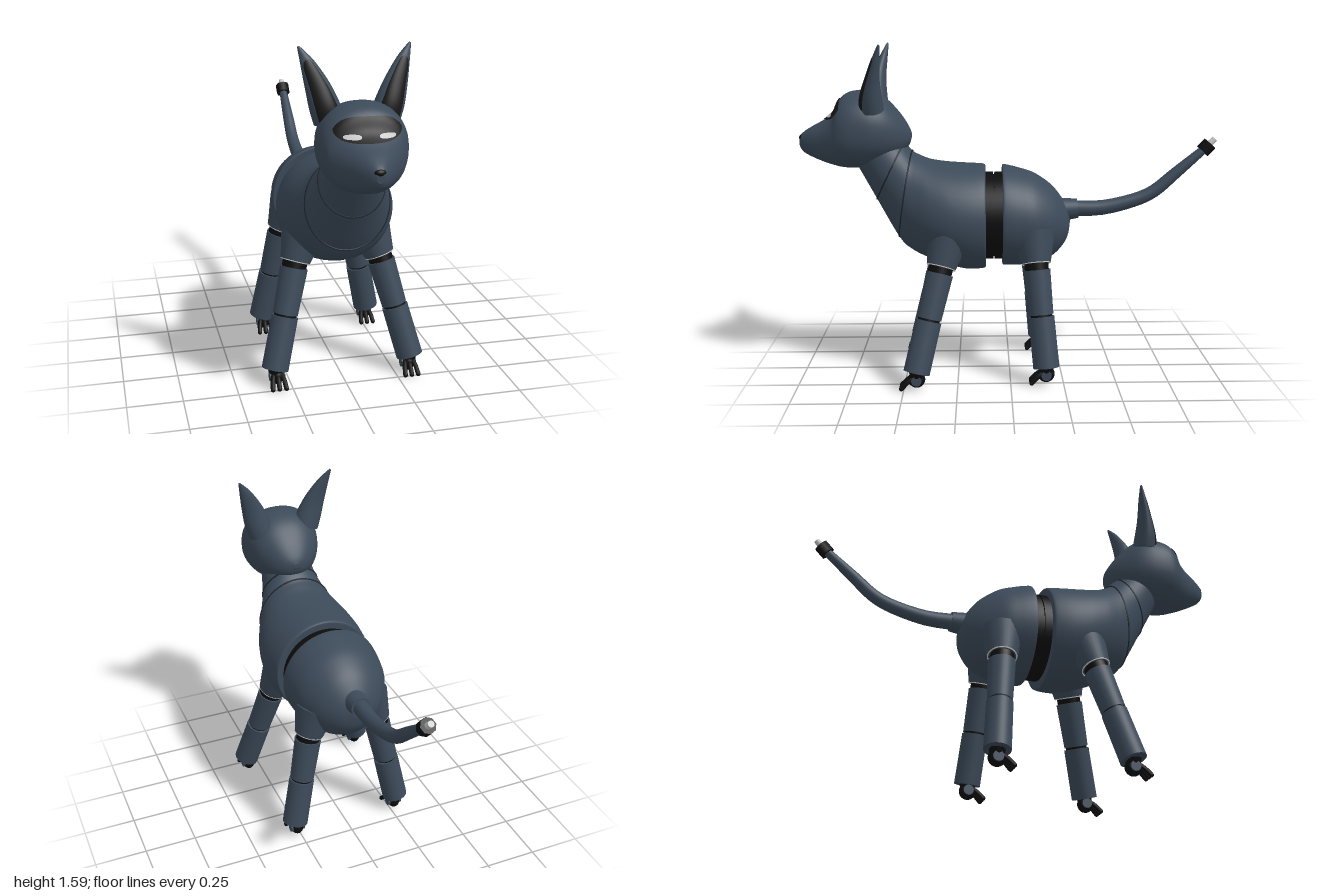
import * as THREE from 'three';

const V = (x, y, z) => new THREE.Vector3(x, y, z);
const mat = (color) => new THREE.MeshStandardMaterial({ color, side: THREE.DoubleSide });
const SHELL = mat(0x3c4a59), SEAM = mat(0x1d252d), BLACK = mat(0x0d0d0d), DARK = mat(0x171717), LIGHT = mat(0xdddddd);

// Catmull-Rom resampling of rows of numbers
function resample(rows, steps) {
  const out = [], last = rows.length - 1;
  const at = (i) => rows[Math.max(0, Math.min(last, i))];
  for (let i = 0; i < last; i++) {
    for (let s = 0; s < steps; s++) {
      const t = s / steps;
      out.push(rows[i].map((b, k) => {
        const a = at(i - 1)[k], c = at(i + 1)[k], d = at(i + 2)[k];
        return b + 0.5 * t * (c - a + t * (2 * a - 5 * b + 4 * c - d + t * (3 * (b - c) + d - a)));
      }));
    }
  }
  out.push(rows[last]);
  return out;
}

const bulge = (v, n) => Math.sign(v) * Math.abs(v) ** (2 / n);
const ringPoint = ({ c, u, v }, a, n = 2) =>
  c.clone().addScaledVector(u, bulge(Math.cos(a), n)).addScaledVector(v, bulge(Math.sin(a), n));

// Skin over sections {c, u, v} advancing along u x v, with flat end caps
function loft(sections, { sides = 48, n = 2 } = {}) {
  const pos = [], idx = [];
  const addRing = (s) => {
    const start = pos.length / 3;
    for (let j = 0; j < sides; j++) pos.push(...ringPoint(s, (j / sides) * Math.PI * 2, n).toArray());
    return start;
  };
  sections.forEach(addRing);
  for (let i = 0; i < sections.length - 1; i++) {
    for (let j = 0; j < sides; j++) {
      const k = (j + 1) % sides, a = i * sides, b = a + sides;
      idx.push(a + j, a + k, b + k, a + j, b + k, b + j);
    }
  }
  [sections[0], sections[sections.length - 1]].forEach((s, end) => {
    const r = addRing(s), mid = r + sides;
    pos.push(...s.c.toArray());
    for (let j = 0; j < sides; j++) {
      const k = (j + 1) % sides;
      idx.push(mid, r + (end ? j : k), r + (end ? k : j));
    }
  });
  const g = new THREE.BufferGeometry();
  g.setAttribute('position', new THREE.Float32BufferAttribute(pos, 3));
  g.setIndex(idx);
  g.computeVertexNormals();
  return g;
}

// Row [topZ, topY, bottomZ, bottomY, halfWidth] to a section
const slab = ([tz, ty, bz, by, w]) => ({
  c: V(0, (ty + by) / 2, (tz + bz) / 2), u: V(w, 0, 0), v: V(0, (ty - by) / 2, (tz - bz) / 2),
});

// Sections along a path; rows are [x, y, z, half size along side, half size across]
function along(rows, side) {
  return rows.map((r, i) => {
    const p = rows[Math.max(0, i - 1)], q = rows[Math.min(rows.length - 1, i + 1)];
    const t = V(q[0] - p[0], q[1] - p[1], q[2] - p[2]).normalize();
    const u = side.clone().addScaledVector(t, -side.dot(t)).normalize();
    return { c: V(r[0], r[1], r[2]), u: u.clone().multiplyScalar(r[3]), v: t.cross(u).multiplyScalar(r[4]) };
  });
}

function add(parent, name, geometry, material) {
  const m = new THREE.Mesh(geometry, material);
  m.name = name;
  parent.add(m);
  return m;
}

// Round bar between two points
function bar(parent, name, a, b, r0, r1, material, sides = 32) {
  const m = add(parent, name, new THREE.CylinderGeometry(r1, r0, a.distanceTo(b), sides), material);
  m.position.copy(a).lerp(b, 0.5);
  m.quaternion.setFromUnitVectors(V(0, 1, 0), b.clone().sub(a).normalize());
  return m;
}

// Head stations: z, bottom, top, half width
const HEAD_N = 2.25;
const headRows = resample([
  [0.465, 1.16, 1.18, 0.012], [0.48, 1.12, 1.215, 0.06], [0.52, 1.08, 1.275, 0.112], [0.58, 1.05, 1.34, 0.158],
  [0.64, 1.03, 1.375, 0.182], [0.7, 1.02, 1.385, 0.19], [0.76, 1.018, 1.375, 0.187], [0.8, 1.022, 1.345, 0.172],
  [0.83, 1.03, 1.285, 0.15], [0.88, 1.045, 1.245, 0.112], [0.94, 1.07, 1.212, 0.07], [0.98, 1.093, 1.185, 0.038],
  [0.997, 1.12, 1.165, 0.016]], 5);

// Depth of the face surface at x, y
function faceZ(x, y) {
  for (let t = headRows.length - 1.001; t > 0; t -= 0.02) {
    const i = Math.floor(t), f = t - i;
    const [z, b, h, w] = headRows[i].map((p, k) => p + (headRows[i + 1][k] - p) * f);
    if (Math.abs(x / w) ** HEAD_N + Math.abs((2 * y - b - h) / (h - b)) ** HEAD_N < 1) return z;
  }
  return 0.6;
}

// Thin plate lying on the face, between two edge curves
function facePlate(cx, halfW, low, high, offset) {
  const g = new THREE.PlaneGeometry(2, 2, 28, 10), p = g.attributes.position;
  for (let i = 0; i < p.count; i++) {
    const u = p.getX(i), v = (p.getY(i) + 1) / 2;
    const x = cx + u * halfW, y = low(u) + (high(u) - low(u)) * v;
    p.setXYZ(i, x, y, faceZ(x, y) + offset);
  }
  g.computeVertexNormals();
  return g;
}

function buildHead(root) {
  const head = new THREE.Group();
  head.name = 'head';
  root.add(head);
  add(head, 'skull', loft(headRows.map(([z, b, t, w]) => slab([z, t, z, b, w])), { n: HEAD_N }), SHELL);
  add(head, 'visor', facePlate(0, 0.143, (u) => 1.25 + 0.035 * u ** 6, (u) => 1.345 - 0.045 * u ** 4, 0.006), DARK);
  const nose = add(head, 'nose', new THREE.SphereGeometry(1, 24, 16), BLACK);
  nose.scale.set(0.026, 0.017, 0.018);
  nose.position.set(0, 1.16, 0.982);
  for (const s of [1, -1]) {
    add(head, 'eye', facePlate(s * 0.073, 0.036, (u) => 1.262 + 0.006 * u ** 4, (u) => 1.281 - 0.006 * u ** 4, 0.012), LIGHT);
    const ear = [[0.12, 1.3, 0.64, 0.066, 0.056], [0.14, 1.36, 0.64, 0.064, 0.05], [0.167, 1.44, 0.63, 0.052, 0.034],
      [0.203, 1.53, 0.61, 0.03, 0.019], [0.237, 1.598, 0.592, 0.005, 0.005]];
    const side = V(0.925 * s, -0.38, 0);
    add(head, 'ear', loft(along(resample(ear.map(([x, ...r]) => [s * x, ...r]), 5), side), { sides: 32 }), SHELL);
    // Dark hollow of the ear, just proud of its front
    const hollow = ear.slice(0, 4).map(([x, y, z, a, b]) => [s * x, y, z + b * 0.55, a * 0.74, b * 0.55]);
    hollow.push([s * 0.212, 1.555, 0.613, 0.003, 0.003]);
    add(head, 'earHollow', loft(along(resample(hollow, 5), side), { sides: 24 }), DARK);
  }
}

function buildBody(root) {
  const chestSeam = [0.465, 1.095, 0.53, 0.68, 0.192], neckSeam = [0.5, 1.14, 0.635, 0.865, 0.148];
  const front = [[0.115, 1.015, 0.115, 0.535, 0.238], [0.125, 1.03, 0.125, 0.525, 0.248], [0.2, 1.035, 0.2, 0.522, 0.262],
    [0.3, 1.042, 0.28, 0.54, 0.262], [0.38, 1.055, 0.38, 0.575, 0.243], [0.43, 1.075, 0.47, 0.62, 0.215],
    chestSeam, neckSeam, [0.55, 1.2, 0.72, 1.02, 0.125], [0.58, 1.24, 0.75, 1.08, 0.11]];
  add(root, 'chestAndNeck', loft(resample(front, 6).map(slab)), SHELL);
  for (const row of [chestSeam, neckSeam]) {
    const s = slab(row), pts = [];
    for (let i = 0; i < 40; i++) pts.push(ringPoint(s, (i / 40) * Math.PI * 2));
    add(root, 'panelSeam', new THREE.TubeGeometry(new THREE.CatmullRomCurve3(pts, true), 100, 0.004, 6, true), SEAM);
  }
  const rear = [[-0.292, 0.77, -0.292, 0.73, 0.02], [-0.28, 0.815, -0.28, 0.675, 0.075], [-0.25, 0.87, -0.25, 0.625, 0.125],
    [-0.2, 0.93, -0.2, 0.58, 0.175], [-0.12, 0.985, -0.12, 0.55, 0.222], [-0.04, 1.012, -0.04, 0.54, 0.24],
    [0.025, 1.027, 0.025, 0.54, 0.246], [0.035, 1.02, 0.035, 0.545, 0.24]];
  add(root, 'hindquarters', loft(resample(rear, 6).map(slab)), SHELL);
  // Dark waist: two bands around a slimmer core
  for (const [z, d, k] of [[0.098, 0.04, 1], [0.052, 0.04, 1], [0.075, 0.12, 0.95]]) {
    const band = add(root, 'waistBand', new THREE.CylinderGeometry(1, 1, d, 48).rotateX(Math.PI / 2), BLACK);
    band.scale.set(0.212 * k, 0.21 * k, 1);
    band.position.set(0, 0.78, z);
  }
}

function buildLeg(root, name, root3, top, bottom) {
  const leg = new THREE.Group();
  leg.name = name;
  root.add(leg);
  const at = (t) => top.clone().lerp(bottom, t);
  bar(leg, 'shoulder', root3, top, 0.105, 0.069, SHELL);
  bar(leg, 'shoulderCollar', at(-0.06), at(0.08), 0.057, 0.057, BLACK);
  const rim = add(leg, 'shoulderRim', new THREE.TorusGeometry(0.067, 0.003, 8, 40), LIGHT);
  rim.position.copy(top);
  rim.quaternion.setFromUnitVectors(V(0, 0, 1), top.clone().sub(root3).normalize());
  bar(leg, 'upperLeg', at(0.06), at(0.49), 0.064, 0.058, SHELL);
  bar(leg, 'kneeCollar', at(0.47), at(0.53), 0.052, 0.052, BLACK);
  bar(leg, 'lowerLeg', at(0.51), at(1), 0.061, 0.062, SHELL);
  // Foot: ball joint with side discs and three claws
  const foot = at(1).add(V(-Math.sign(top.x) * 0.008, -0.033, 0));
  bar(leg, 'ankle', at(0.98), foot, 0.038, 0.03, BLACK, 20);
  const joint = add(leg, 'footJoint', new THREE.SphereGeometry(0.04, 24, 16), BLACK);
  joint.position.copy(foot);
  joint.scale.x = 0.8;
  bar(leg, 'footPin', foot.clone().add(V(-0.035, 0, 0)), foot.clone().add(V(0.035, 0, 0)), 0.024, 0.024, SHELL, 20);
  for (const i of [-1, 0, 1]) {
    const path = new THREE.CatmullRomCurve3([V(i * 0.018, 0.012, 0.015), V(i * 0.026, -0.006, 0.04), V(i * 0.031, -0.036, 0.07)]);
    const claw = add(leg, 'claw', new THREE.TubeGeometry(path, 8, 0.011, 10), BLACK);
    claw.position.copy(foot);
    const tip = add(leg, 'clawTip', new THREE.SphereGeometry(0.011, 10, 8), BLACK);
    tip.position.copy(path.getPoint(1)).add(foot);
  }
}

function buildTail(root) {
  bar(root, 'tailSocket', V(0, 0.805, -0.24), V(0, 0.812, -0.33), 0.058, 0.047, SHELL);
  const tail = [[0.812, -0.31, 0.039], [0.815, -0.45, 0.036], [0.85, -0.6, 0.033], [0.895, -0.7, 0.031],
    [0.98, -0.8, 0.028], [1.1, -0.94, 0.02]];
  const rows = resample(tail.map(([y, z, r]) => [0, y, z, r, r]), 3);
  add(root, 'tail', loft(along(rows, V(-1, 0, 0)), { sides: 24 }), SHELL);
  bar(root, 'tailCollar', V(0, 1.088, -0.93), V(0, 1.125, -0.965), 0.036, 0.036, BLACK, 8);
  bar(root, 'tailTip', V(0, 1.12, -0.96), V(0, 1.148, -0.988), 0.016, 0.014, LIGHT, 16);
}

export function createModel() {
  const root = new THREE.Group();
  root.name = 'roboticFox';
  buildBody(root);
  buildHead(root);
  buildTail(root);
  for (const s of [1, -1]) {
    buildLeg(root, 'frontLeg', V(s * 0.15, 0.72, 0.285), V(s * 0.2, 0.57, 0.325), V(s * 0.322, 0.095, 0.44));
    buildLeg(root, 'hindLeg', V(s * 0.13, 0.72, -0.11), V(s * 0.178, 0.58, -0.122), V(s * 0.275, 0.1, -0.167));
  }
  return root;
}
